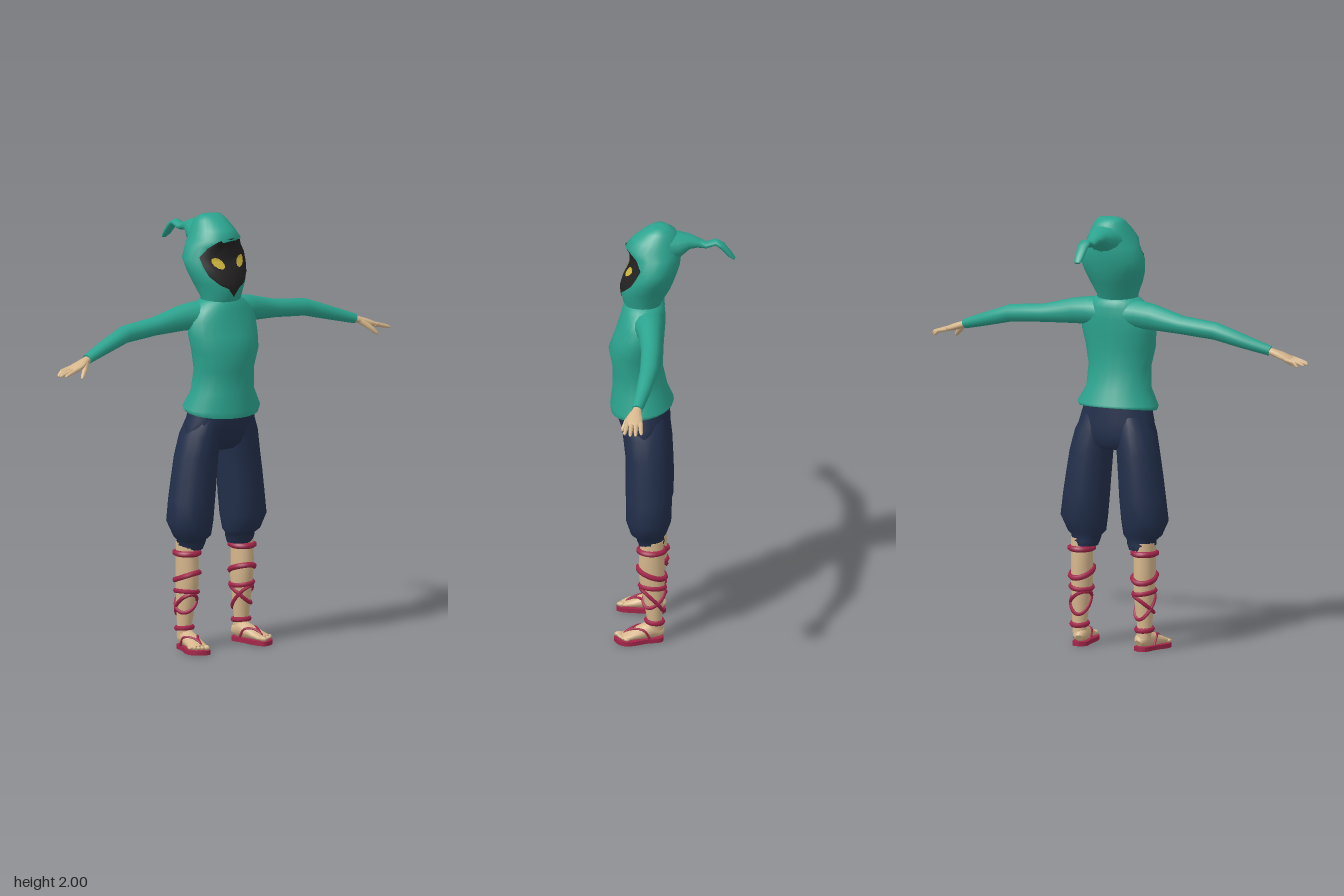
import * as THREE from 'three';
import { mergeVertices } from 'three/addons/utils/BufferGeometryUtils.js';

const V = (x, y, z) => new THREE.Vector3(x, y, z);
const TAU = Math.PI * 2;

// Skin a list of equal-length rings, with flat caps at both ends.
function loft(rings) {
  const n = rings[0].length, pos = [], idx = [];
  const put = p => pos.push(p.x, p.y, p.z) / 3 - 1;
  rings.forEach(r => r.forEach(put));
  for (let i = 0; i < rings.length - 1; i++) for (let j = 0; j < n; j++) {
    const a = i * n + j, b = i * n + (j + 1) % n;
    idx.push(a, a + n, b, b, a + n, b + n);
  }
  [rings[0], rings[rings.length - 1]].forEach((r, end) => {
    const c = put(r.reduce((s, p) => s.add(p), V(0, 0, 0)).divideScalar(n)), k = c + 1;
    r.forEach(put);
    for (let j = 0; j < n; j++) {
      const a = k + j, b = k + (j + 1) % n;
      end ? idx.push(c, b, a) : idx.push(c, a, b);
    }
  });
  const g = new THREE.BufferGeometry();
  g.setAttribute('position', new THREE.Float32BufferAttribute(pos, 3));
  g.setIndex(idx);
  g.computeVertexNormals();
  return g;
}

// Upright form. Rows, bottom first: [y, centreX, radiusX, backZ, frontZ, front drop]
const upright = (rows, n = 20) => loft(rows.map(([y, cx, rx, zb, zf, drop = 0]) =>
  Array.from({ length: n }, (_, j) => {
    const a = j / n * TAU, s = Math.sin(a);
    return V(cx + rx * Math.cos(a), y - drop * s, (zb + zf) / 2 + (zf - zb) / 2 * s);
  })));

// Form swept along a path. Rows: [x, y, z, radius along side, other radius]
function sweep(rows, side, n = 12) {
  const c = rows.map(r => V(r[0], r[1], r[2]));
  return loft(rows.map((r, i) => {
    const t = c[Math.min(i + 1, c.length - 1)].clone().sub(c[Math.max(i - 1, 0)]).normalize();
    const a = side.clone().addScaledVector(t, -side.dot(t)).normalize();
    const b = a.clone().cross(t);
    return Array.from({ length: n }, (_, j) => c[i].clone()
      .addScaledVector(a, r[3] * Math.cos(j / n * TAU))
      .addScaledVector(b, r[4] * Math.sin(j / n * TAU)));
  }));
}

// Interpolated row of an upright form at height y
function rowAt(rows, y) {
  let i = 0;
  while (i < rows.length - 2 && y > rows[i + 1][0]) i++;
  const k = THREE.MathUtils.clamp((y - rows[i][0]) / (rows[i + 1][0] - rows[i][0]), 0, 1);
  return rows[i].map((v, m) => v + (rows[i + 1][m] - v) * k);
}

function mirrored(geo) {
  const g = geo.index ? geo.clone() : mergeVertices(geo);
  g.scale(-1, 1, 1);
  const a = g.index.array;
  for (let i = 0; i < a.length; i += 3) [a[i + 1], a[i + 2]] = [a[i + 2], a[i + 1]];
  return g;
}

const hoodRows = [
  [1.59, 0, 0.1, 0.06, 0.2], [1.63, 0, 0.095, 0.045, 0.225], [1.7, 0, 0.125, 0.005, 0.235],
  [1.75, 0, 0.145, -0.015, 0.22], [1.81, 0, 0.158, -0.035, 0.19], [1.87, 0, 0.13, -0.042, 0.19],
  [1.9, 0, 0.114, -0.042, 0.214], [1.94, 0, 0.094, -0.035, 0.18], [1.98, 0, 0.072, -0.015, 0.13],
  [1.997, 0, 0.055, 0.02, 0.095], [2, 0, 0.03, 0.04, 0.08]];

const legRows = [
  [0.06, 0.162, 0.034, 0.035, 0.11], [0.11, 0.165, 0.034, 0.042, 0.11], [0.2, 0.162, 0.042, 0.035, 0.125],
  [0.3, 0.158, 0.048, 0.028, 0.145], [0.38, 0.16, 0.049, 0.03, 0.148], [0.5, 0.16, 0.05, 0.035, 0.14]];

// Thin plate laid over the front of the hood; outline runs anticlockwise
function drape(outline, cx, cy, lift) {
  const n = outline.length, steps = 7, pos = [], idx = [];
  for (let i = 0; i <= steps; i++) outline.forEach(([px, py]) => {
    const x = cx + (px - cx) * i / steps, y = cy + (py - cy) * i / steps;
    const [, , rx, zb, zf] = rowAt(hoodRows, y);
    const s = Math.sqrt(Math.max(0, 1 - (x / rx) ** 2));
    pos.push(x, y, (zb + zf) / 2 + (zf - zb) / 2 * s + lift);
  });
  for (let i = 0; i < steps; i++) for (let j = 0; j < n; j++) {
    const a = i * n + j, b = i * n + (j + 1) % n;
    if (i) idx.push(a, a + n, b);
    idx.push(b, a + n, b + n);
  }
  const g = new THREE.BufferGeometry();
  g.setAttribute('position', new THREE.Float32BufferAttribute(pos, 3));
  g.setIndex(idx);
  g.computeVertexNormals();
  return g;
}

export function createModel() {
  const group = new THREE.Group();
  const mat = (name, color) => {
    const m = new THREE.MeshStandardMaterial({ color, side: THREE.DoubleSide });
    m.name = name;
    return m;
  };
  const green = mat('greenCloth', 0x2ca48f), navy = mat('navyCloth', 0x222f4b),
    skin = mat('skin', 0xd6b68c), crimson = mat('crimsonStrap', 0xa3264a),
    black = mat('faceShadow', 0x242222), yellow = mat('eyeYellow', 0xd2b83a);
  const add = (name, geo, m) => {
    const mesh = new THREE.Mesh(geo, m);
    mesh.name = name;
    group.add(mesh);
  };
  const pair = (name, geo, m) => {
    add(name + 'Left', geo, m);
    add(name + 'Right', mirrored(geo), m);
  };

  // Tunic with flared hem
  add('tunic', upright([
    [1.105, 0, 0.185, -0.005, 0.28, 0.02], [1.125, 0, 0.195, -0.008, 0.283, 0.01], [1.2, 0, 0.155, 0.02, 0.272],
    [1.3, 0, 0.15, 0.042, 0.272], [1.39, 0, 0.168, 0.04, 0.29], [1.46, 0, 0.18, 0.035, 0.265],
    [1.53, 0, 0.18, 0.03, 0.243], [1.58, 0, 0.15, 0.032, 0.23], [1.61, 0, 0.12, 0.04, 0.22],
    [1.625, 0, 0.09, 0.06, 0.21]], 24), green);

  // Sleeves
  pair('sleeve', sweep([
    [0.06, 1.55, 0.11, 0.07, 0.065], [0.13, 1.55, 0.105, 0.068, 0.064], [0.2, 1.545, 0.095, 0.054, 0.059],
    [0.35, 1.523, 0.086, 0.045, 0.042], [0.52, 1.508, 0.089, 0.042, 0.04], [0.65, 1.468, 0.11, 0.034, 0.032],
    [0.775, 1.43, 0.135, 0.025, 0.023]], V(0, 0, 1), 14), green);

  // Hands
  pair('palm', sweep([
    [0.76, 1.433, 0.134, 0.019, 0.017], [0.79, 1.424, 0.138, 0.023, 0.016], [0.83, 1.41, 0.146, 0.038, 0.016],
    [0.87, 1.397, 0.148, 0.04, 0.012], [0.88, 1.394, 0.148, 0.036, 0.006]], V(0, 0, 1)), skin);
  [0.926, 0.945, 0.952, 0.94].forEach((tip, i) => {
    const z0 = 0.118 + i * 0.02, z1 = 0.112 + i * 0.025;
    pair('finger' + (i + 1), sweep([
      [0.86, 1.4, z0, 0.011, 0.01], [0.905, 1.388, (z0 + z1) / 2, 0.01, 0.009],
      [tip - 0.008, 1.374 + i * 0.002, z1, 0.008, 0.007], [tip, 1.37 + i * 0.002, z1, 0.004, 0.003]],
      V(0, 0, 1), 8), skin);
  });
  pair('thumb', sweep([
    [0.795, 1.418, 0.155, 0.014, 0.013], [0.825, 1.392, 0.182, 0.013, 0.012],
    [0.85, 1.366, 0.198, 0.009, 0.009], [0.857, 1.357, 0.201, 0.004, 0.004]], V(0, 1, 0), 8), skin);

  // Hood and its drooping tail
  add('hood', upright(hoodRows, 24), green);
  add('hoodTail', sweep([
    [0, 1.9, 0.03, 0.095, 0.085], [0, 1.915, -0.035, 0.072, 0.055], [0, 1.925, -0.08, 0.046, 0.033],
    [0, 1.918, -0.12, 0.03, 0.021], [0, 1.908, -0.155, 0.027, 0.014], [0, 1.923, -0.2, 0.028, 0.014],
    [0, 1.905, -0.228, 0.026, 0.015], [0, 1.862, -0.265, 0.022, 0.012], [0, 1.842, -0.284, 0.014, 0.006]],
    V(1, 0, 0)), green);

  // Shadowed face and slanted eyes
  const half = [[0.03, 1.68], [0.07, 1.7], [0.108, 1.74], [0.122, 1.78], [0.129, 1.825], [0.095, 1.865], [0.06, 1.898]];
  add('face', drape([[0, 1.64], ...half, [0, 1.908],
    ...half.slice().reverse().map(([x, y]) => [-x, y])], 0, 1.79, 0.005), black);
  const eye = Array.from({ length: 10 }, (_, i) => {
    const u = 0.033 * Math.cos(i / 10 * TAU), v = 0.021 * Math.sin(i / 10 * TAU);
    return [0.062 + 0.77 * u - 0.64 * v, 1.797 + 0.64 * u + 0.77 * v];
  });
  pair('eye', drape(eye, 0.062, 1.797, 0.009), yellow);

  // Baggy trousers
  add('trouserHips', upright([
    [0.925, 0, 0.1, 0.04, 0.18], [0.95, 0, 0.17, 0.015, 0.208], [1, 0, 0.195, 0.008, 0.228],
    [1.06, 0, 0.178, 0.008, 0.25], [1.13, 0, 0.158, 0.012, 0.262]]), navy);
  pair('trouserLeg', upright([
    [0.465, 0.142, 0.058, 0.035, 0.145], [0.49, 0.142, 0.068, 0.03, 0.155], [0.51, 0.14, 0.07, 0.035, 0.16],
    [0.53, 0.142, 0.09, 0.022, 0.185], [0.6, 0.154, 0.11, -0.002, 0.206], [0.7, 0.143, 0.108, -0.005, 0.208],
    [0.8, 0.132, 0.104, -0.002, 0.21], [0.9, 0.12, 0.1, 0.002, 0.21], [1, 0.103, 0.094, 0.012, 0.222],
    [1.08, 0.085, 0.075, 0.03, 0.23]], 18), navy);

  // Shins with wrapped straps: [height, front rise, side rise, thickness]
  pair('shin', upright(legRows, 16), skin);
  [[0.45, 0, 0, 0.014], [0.34, 0.022, -0.006, 0.013], [0.27, 0.004, 0.006, 0.011],
    [0.205, 0.055, 0.015, 0.009], [0.215, -0.025, -0.03, 0.009], [0.1, 0.004, 0, 0.012]].forEach(([y0, fr, sr, r], i) => {
    const pts = Array.from({ length: 16 }, (_, k) => {
      const c = Math.cos(k / 16 * TAU), s = Math.sin(k / 16 * TAU), y = y0 + fr * s + sr * c;
      const [, cx, rx, zb, zf] = rowAt(legRows, y);
      return V(cx + (rx + 0.002) * c, y, (zb + zf) / 2 + ((zf - zb) / 2 + 0.002) * s);
    });
    pair('legStrap' + (i + 1), new THREE.TubeGeometry(new THREE.CatmullRomCurve3(pts, true), 32, r, 6, true), crimson);
  });

  // Feet and sandals, turned outward
  const turn = g => g.rotateY(0.22).translate(0.157, 0, 0.07);
  pair('foot', turn(sweep([
    [0, 0.038, -0.032, 0.018, 0.016], [0, 0.046, -0.018, 0.032, 0.03], [0, 0.058, 0.015, 0.037, 0.044],
    [0, 0.05, 0.05, 0.039, 0.036], [0, 0.04, 0.1, 0.044, 0.024], [0, 0.032, 0.14, 0.046, 0.015],
    [0, 0.03, 0.155, 0.042, 0.011]], V(1, 0, 0), 14)), skin);
  for (let i = 0; i < 5; i++) {
    const r = i ? 0.0095 : 0.014;
    const toe = new THREE.SphereGeometry(r, 8, 6).scale(1, 0.9, 1.6);
    pair('toe' + (i + 1), turn(toe.translate(-0.03 + i * 0.0175 + (i ? 0.003 : 0), 0.031, 0.165 - i * i * 0.0015)), skin);
  }
  const outline = new THREE.Shape(new THREE.SplineCurve([
    [0, -0.037], [0.034, -0.018], [0.038, 0.05], [0.052, 0.115], [0.046, 0.155], [0.015, 0.18],
    [-0.03, 0.188], [-0.05, 0.16], [-0.047, 0.1], [-0.037, 0.04], [-0.033, -0.018], [0, -0.037]
  ].map(([x, y]) => new THREE.Vector2(x, y))).getPoints(36));
  pair('sandalSole', turn(new THREE.ExtrudeGeometry(outline, { depth: 0.02, bevelEnabled: false })
    .rotateX(Math.PI / 2).translate(0, 0.02, 0)), crimson);
  for (const s of [-1, 1]) {
    const thong = new THREE.CatmullRomCurve3([V(s * 0.04, 0.025, 0.035), V(s * 0.036, 0.064, 0.06),
      V(s * 0.012 - 0.004, 0.066, 0.1), V(-0.011, 0.05, 0.135), V(-0.012, 0.025, 0.158)]);
    pair(s < 0 ? 'innerThong' : 'outerThong', turn(new THREE.TubeGeometry(thong, 14, 0.006, 6)), crimson);
  }
  return group;
}
